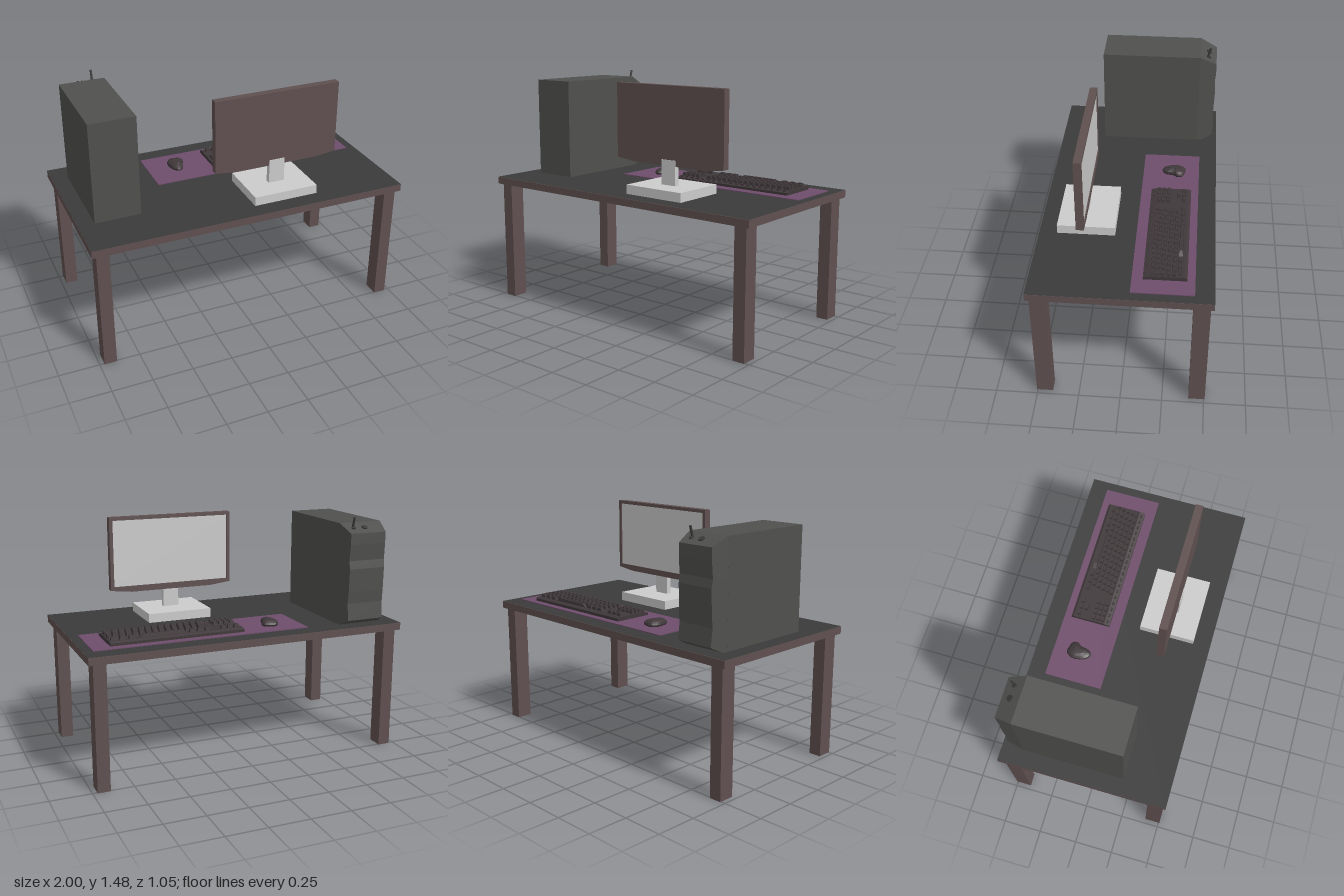
import * as THREE from 'three';
import { mergeGeometries } from 'three/addons/utils/BufferGeometryUtils.js';

const mat = (color, extra = {}) => new THREE.MeshStandardMaterial({ color, flatShading: true, ...extra });
const brown = mat(0x605050);
const deskBlack = mat(0x3a3a3a);
const caseGrey = mat(0x50504e);
const darkKey = mat(0x40383a);
const purple = mat(0x6f4e6c);
const grey = mat(0xcccccc);

// Box geometry given by its minimum and maximum on each axis
function span(x0, x1, y0, y1, z0, z1) {
  return new THREE.BoxGeometry(x1 - x0, y1 - y0, z1 - z0)
    .translate((x0 + x1) / 2, (y0 + y1) / 2, (z0 + z1) / 2);
}

function add(parent, name, geometry, material) {
  const mesh = new THREE.Mesh(geometry, material);
  mesh.name = name;
  parent.add(mesh);
  return mesh;
}

function group(parent, name) {
  const g = new THREE.Group();
  g.name = name;
  parent.add(g);
  return g;
}

// Rectangle outline as a list of points
const rect = (x0, x1, y0, y1) => [[x0, y0], [x1, y0], [x1, y1], [x0, y1]].map(p => new THREE.Vector2(...p));

function buildDesk(root) {
  const desk = group(root, 'desk');
  add(desk, 'deskBoard', span(-1, 1, 0.765, 0.81, -0.525, 0.525), brown);
  add(desk, 'deskSurface', new THREE.PlaneGeometry(2, 1.05).rotateX(-Math.PI / 2).translate(0, 0.8115, 0), deskBlack);
  for (const sx of [-1, 1]) for (const sz of [-1, 1]) {
    add(desk, 'leg', new THREE.BoxGeometry(0.077, 0.765, 0.098), brown)
      .position.set(sx * 0.933, 0.3825, sz * 0.458);
  }
}

function buildTower(root) {
  const tower = group(root, 'computerTower');
  const cx = -0.757;
  add(tower, 'towerCase', span(cx - 0.142, cx + 0.142, 0.811, 1.44, -0.39, 0.238), caseGrey);

  // Bevelled panel with a gently wavy face: [height, depth of face]
  const rows = [[0.811, -0.42], [0.85, -0.497], [0.955, -0.487], [1.03, -0.493], [1.17, -0.497],
    [1.22, -0.489], [1.32, -0.497], [1.388, -0.497], [1.44, -0.392]];
  const panel = new THREE.BoxGeometry(1, 1, 1, 1, rows.length - 1, 1);
  const p = panel.attributes.position;
  for (let i = 0; i < p.count; i++) {
    const [y, zFace] = rows[Math.round((p.getY(i) + 0.5) * (rows.length - 1))];
    const outer = p.getZ(i) < 0;
    const half = outer ? 0.142 - 0.022 * (-0.39 - zFace) / 0.107 : 0.142;
    p.setXYZ(i, cx + Math.sign(p.getX(i)) * half, y, outer ? zFace : -0.389);
  }
  add(tower, 'frontPanel', panel, caseGrey);

  // Controls on the sloping top of the panel
  const controls = group(tower, 'controls');
  controls.position.set(cx, 1.413, -0.447);
  controls.rotation.x = -0.46;
  add(controls, 'powerButton', new THREE.CylinderGeometry(0.018, 0.02, 0.014, 16), deskBlack);
  add(controls, 'socketRing', new THREE.CylinderGeometry(0.013, 0.015, 0.012, 12), deskBlack).position.x = 0.076;
  const stick = add(tower, 'stick', new THREE.CylinderGeometry(0.007, 0.007, 0.07, 8), deskBlack);
  stick.position.set(-0.681, 1.445, -0.446);
  stick.rotation.x = -0.28;
}

function buildMonitor(root) {
  const monitor = group(root, 'monitor');
  const outline = [[-0.155, 1.46], [-0.155, 1.0], [-0.02, 0.984], [0.517, 0.984], [0.652, 1.0], [0.652, 1.46]]
    .map(q => new THREE.Vector2(...q));
  const extrude = (shape, z0, z1) =>
    new THREE.ExtrudeGeometry(shape, { depth: z1 - z0, bevelEnabled: false }).translate(0, 0, z0);
  add(monitor, 'monitorBack', extrude(new THREE.Shape(outline), 0.238, 0.273), brown);
  const bezel = new THREE.Shape(outline);
  bezel.holes.push(new THREE.Path(rect(-0.133, 0.63, 1.022, 1.44)));
  add(monitor, 'bezel', extrude(bezel, 0.227, 0.238), brown);
  add(monitor, 'screen', span(-0.133, 0.63, 1.022, 1.44, 0.233, 0.24), grey);
  add(monitor, 'standNeck', span(0.2, 0.302, 0.86, 1.02, 0.243, 0.277), grey);
  add(monitor, 'standBase', span(0.043, 0.457, 0.811, 0.868, 0.07, 0.417), grey);
}

function buildKeyboard(root) {
  const keyboard = group(root, 'keyboard');
  const x0 = 0.003, x1 = 0.832;
  // Wedge profile in z and y, swept across the width
  const side = new THREE.Shape([[-0.37, 0.816], [-0.12, 0.816], [-0.12, 0.832], [-0.155, 0.841], [-0.355, 0.841], [-0.37, 0.834]]
    .map(([z, y]) => new THREE.Vector2(-z, y)));
  const body = new THREE.ExtrudeGeometry(side, { depth: x1 - x0, bevelEnabled: false });
  add(keyboard, 'keyboardBody', body.rotateY(Math.PI / 2).translate(x0, 0, 0), darkKey);

  // Keys are tapered four-sided caps
  const keys = [];
  const key = (x, z, w, d = 0.023, y = 0.839, h = 0.021) => {
    const cap = new THREE.CylinderGeometry(0.55, Math.SQRT1_2, 1, 4, 1).rotateY(Math.PI / 4);
    keys.push(cap.scale(w, h, d).translate(x, y + h / 2, z));
  };
  const rowZ = [-0.172, -0.2, -0.23, -0.262, -0.294, -0.326];
  // Main block, each row offset a little and closed by a wide end key
  for (let r = 0; r < 5; r++) {
    const shift = [0, 0.008, 0.014, 0.022, 0.03][r];
    for (let i = 0; i < 14; i++) key(0.225 + shift + i * 0.0405, rowZ[r], 0.034);
    key(0.803 + shift / 2, rowZ[r], 0.044 - shift);
  }
  // Space row
  for (const x of [0.222, 0.27, 0.318, 0.69, 0.745, 0.798]) key(x, rowZ[5], 0.042);
  key(0.503, rowZ[5], 0.3);
  // Small keys along the far edge
  for (let i = 0; i < 19; i++) key(0.028 + i * 0.043, -0.14, 0.024, 0.012, 0.835, 0.01);
  // Number block and arrows
  for (let r = 0; r < 3; r++) for (let i = 0; i < 4; i++) key(0.03 + i * 0.036, rowZ[r], 0.029);
  for (let i = 0; i < 3; i++) key(0.038 + i * 0.042, rowZ[5], 0.034);
  key(0.08, rowZ[4], 0.034);
  add(keyboard, 'keys', mergeGeometries(keys), darkKey);
}

function buildMouse(root) {
  const mouse = group(root, 'mouse');
  // Outline with a thumb bulge on one side, stacked and shrunk into a dome
  const outline = new THREE.CatmullRomCurve3([[-0.2, -0.325], [-0.235, -0.327], [-0.262, -0.29], [-0.262, -0.25],
    [-0.245, -0.195], [-0.212, -0.176], [-0.183, -0.2], [-0.174, -0.25], [-0.155, -0.275], [-0.16, -0.308]]
    .map(([x, z]) => new THREE.Vector3(x, 0, z)), true).getPoints(24).slice(0, 24);
  const levels = [[0.816, 0.93], [0.828, 1], [0.839, 0.93], [0.848, 0.72], [0.854, 0.4], [0.855, 0]];
  const n = outline.length, cx = -0.212, cz = -0.26, pos = [], index = [];
  for (const [y, s] of levels) for (const q of outline) pos.push(cx + (q.x - cx) * s, y, cz + (q.z - cz) * s);
  for (let l = 0; l < levels.length - 1; l++) for (let i = 0; i < n; i++) {
    const a = l * n + i, b = l * n + (i + 1) % n;
    index.push(a, b, a + n, b, b + n, a + n);
  }
  const g = new THREE.BufferGeometry();
  g.setAttribute('position', new THREE.Float32BufferAttribute(pos, 3));
  g.setIndex(index);
  g.computeVertexNormals();
  add(mouse, 'mouseShell', g, mat(0x40383a, { side: THREE.DoubleSide }));
  add(mouse, 'scrollWheel', new THREE.CylinderGeometry(0.012, 0.012, 0.01, 12).rotateZ(Math.PI / 2), deskBlack)
    .position.set(-0.212, 0.843, -0.222);
}

export function createModel() {
  const root = new THREE.Group();
  root.name = 'computerDesk';
  buildDesk(root);
  buildTower(root);
  buildMonitor(root);
  add(root, 'deskMat', span(-0.404, 0.943, 0.811, 0.817, -0.415, -0.056), purple);
  buildKeyboard(root);
  buildMouse(root);
  return root;
}
